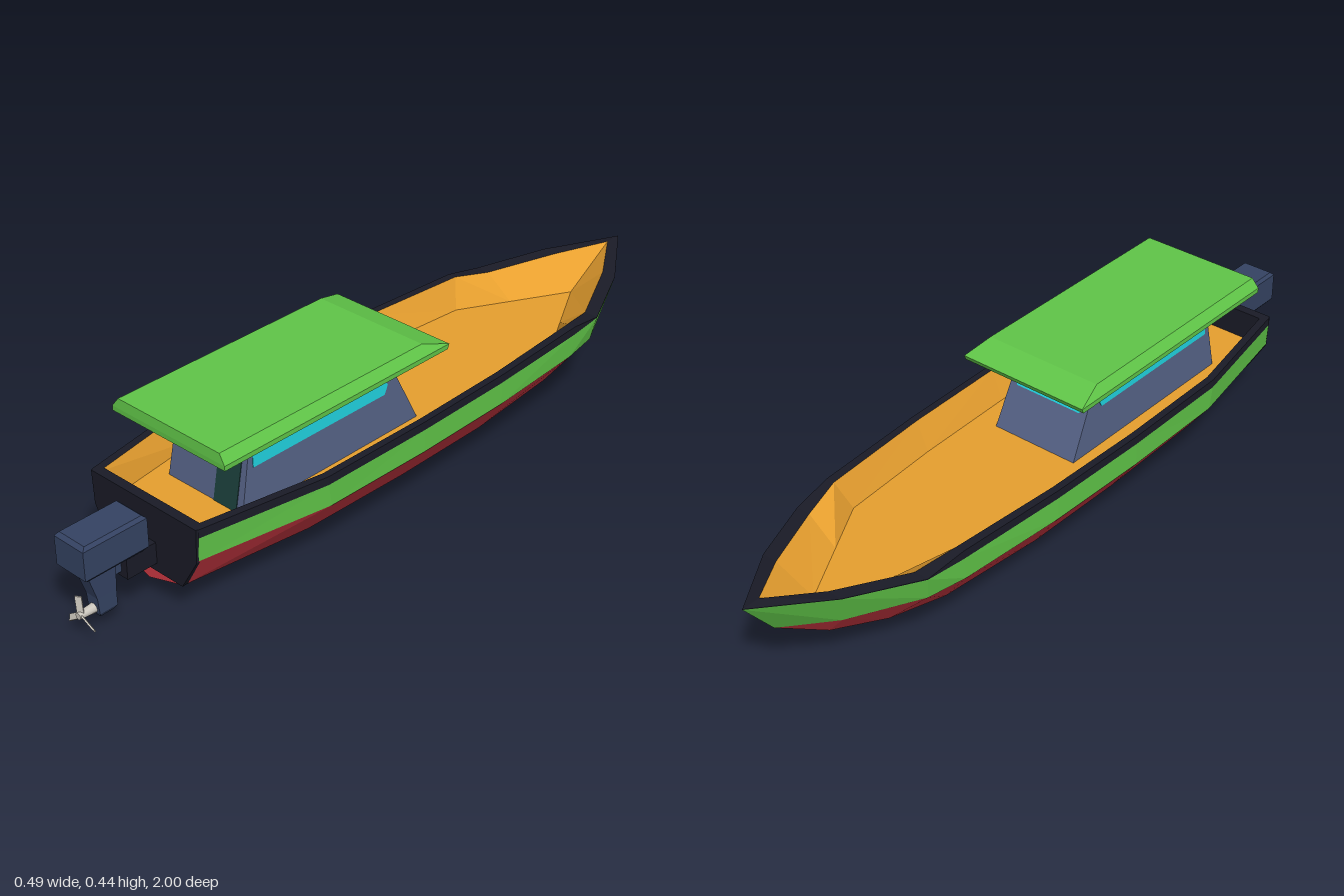
import * as THREE from 'three';

const mat = (name, color) => Object.assign(new THREE.MeshStandardMaterial({ color }), { name });

export function createModel() {
  const boat = new THREE.Group();
  boat.name = 'motorBoat';
  const red = mat('hullRed', 0xd23a45), green = mat('trimGreen', 0x60c548), dark = mat('rimDark', 0x1a1b27);
  const wood = mat('deckOrange', 0xe8a02f), wall = mat('cabinBlueGrey', 0x566387), glass = mat('glassCyan', 0x20d3e0);
  const door = mat('doorTeal', 0x1b403c), engine = mat('motorBlue', 0x354363), metal = mat('propellerMetal', 0xcdc8bf);

  const add = (name, geo, material, parent = boat) => {
    const mesh = new THREE.Mesh(geo, material);
    mesh.name = name;
    parent.add(mesh);
    return mesh;
  };
  // Faceted geometry from a flat list of triangle corners
  const facets = (pts) => {
    const geo = new THREE.BufferGeometry();
    geo.setAttribute('position', new THREE.Float32BufferAttribute(pts.flat(), 3));
    geo.computeVertexNormals();
    return geo;
  };
  // Strips between neighbouring lines running stern to bow, mirrored to both sides
  const loft = (...lines) => {
    const tris = [];
    const flip = ([x, y, z]) => [-x, y, z];
    for (let l = 0; l < lines.length - 1; l++) {
      const A = lines[l], B = lines[l + 1];
      for (let i = 0; i < A.length - 1; i++) {
        const q = [A[i], A[i + 1], B[i + 1], A[i], B[i + 1], B[i]];
        tris.push(...q, ...q.map(flip).reverse());
      }
    }
    return facets(tris);
  };
  // Closed solid from stacked rectangles [halfWidth, zBack, zFront, y], bottom to top
  const rings = (list) => {
    const loops = list.map(([w, a, b, y]) => [[w, y, b], [w, y, a], [-w, y, a], [-w, y, b]]);
    const tris = [];
    for (let r = 0; r < loops.length - 1; r++) {
      for (let i = 0; i < 4; i++) {
        const j = (i + 1) % 4, A = loops[r], B = loops[r + 1];
        tris.push(A[i], A[j], B[j], A[i], B[j], B[i]);
      }
    }
    const t = loops[loops.length - 1], b = loops[0];
    tris.push(t[0], t[1], t[2], t[0], t[2], t[3], b[0], b[2], b[1], b[0], b[3], b[2]);
    return facets(tris);
  };

  // Hull lines, stern to bow
  const keel = [[0, .06, .78], [0, .002, .42], [0, 0, .1], [0, .005, -.2], [0, .014, -.5],
    [0, .055, -.64], [0, .105, -.785], [0, .19, -.915]];
  const chine = [[.12, .097, .78], [.165, .093, .42], [.172, .093, .1], [.168, .093, -.2], [.142, .095, -.5],
    [.1, .1, -.65], [.045, .125, -.79], [0, .19, -.915]];
  const waterline = [[.178, .193, .78], [.243, .195, .42], [.247, .195, .1], [.24, .195, -.2], [.218, .195, -.51],
    [.198, .195, -.62], [.1, .192, -.8], [0, .19, -.915]];
  const beam = [[.182, .78], [.244, .43], [.247, .1], [.24, -.2], [.22, -.52], [.21, -.63], [.125, -.82], [0, -1]];
  const bandY = [.257, .257, .257, .257, .257, .26, .279, .298];
  const rimY = [.28, .28, .28, .28, .28, .262, .28, .299];
  const band = beam.map(([x, z], i) => [x, bandY[i], z]);
  const rimOuter = beam.map(([x, z], i) => [x, rimY[i], z]);
  const innerX = [.16, .224, .228, .22, .196, .17, .083, 0];
  const rimInner = beam.map(([, z], i) => [innerX[i], rimY[i], i === 7 ? -.95 : z]);
  const floorEdge = [[.145, .78], [.195, .43], [.195, .1], [.186, -.2], [.165, -.49], [.088, -.63], [0, -.79], [0, -.79]]
    .map(([x, z]) => [x, .2, z]);
  const floorMid = floorEdge.map(([, y, z]) => [0, y, z]);

  add('hullBottom', loft(keel, chine, waterline), red);
  add('hullStern', facets([keel[0], chine[0], [-.12, .097, .78]]), red);
  add('hullBand', loft(waterline, band), green);
  add('gunwale', loft(band, rimOuter, rimInner), dark);
  add('innerWalls', loft(rimInner, floorEdge), wood);
  add('floor', loft(floorEdge, floorMid), wood);

  // Transom
  const half = [[.122, .097], [.176, .188], [.18, .28]];
  const outline = [...half, ...half.map(([x, y]) => [-x, y]).reverse()];
  const shapeOf = (pts) => new THREE.Shape(pts.map(([x, y]) => new THREE.Vector2(x, y)));
  const transom = new THREE.ExtrudeGeometry(shapeOf(outline), { depth: .026, bevelEnabled: false });
  add('transom', transom.translate(0, 0, .759), dark);

  // Cabin and roof
  add('cabin', rings([[.128, -.008, .598, .19], [.121, .09, .56, .39]]), wall);
  add('roof', rings([[.122, .05, .59, .385], [.19, -.045, .7, .4], [.19, -.05, .7, .413], [.171, .03, .697, .438]]), green);

  // Thin panels laid on the sloping cabin walls
  const rise = (y) => (y - .19) / .2;
  const onRight = (u, y, d) => [.128 - .007 * rise(y) + d, y, -u];
  const onLeft = (u, y, d) => [-(.128 - .007 * rise(y) + d), y, u];
  const onRear = (u, y, d) => [u, y, .598 - .038 * rise(y) + d];
  const onFront = (u, y, d) => [-u, y, -.008 + .098 * rise(y) - d];
  const panel = (name, pts, place, material, depth) => {
    const geo = new THREE.ExtrudeGeometry(shapeOf(pts), { depth, bevelEnabled: false });
    const p = geo.attributes.position;
    for (let i = 0; i < p.count; i++) p.setXYZ(i, ...place(p.getX(i), p.getY(i), p.getZ(i)));
    geo.computeVertexNormals();
    add(name, geo, material);
  };
  const pane = (x0, x1, y0, y1, c) => [[x0 + c, y0], [x1 - c, y0], [x1, y0 + c], [x1, y1 - c],
    [x1 - c, y1], [x0 + c, y1], [x0, y1 - c], [x0, y0 + c]];
  const side = [[.555, .312], [.112, .312], [.1, .335], [.125, .378], [.548, .378], [.555, .37]];
  panel('leftSideWindow', side.map(([z, y]) => [-z, y]), onRight, glass, .0015);
  panel('rightSideWindow', side, onLeft, glass, .0015);
  panel('windshield', pane(-.108, .108, .312, .376, .008), onFront, glass, .002);
  panel('cabinDoor', [[.03, .2], [.106, .2], [.106, .386], [.03, .386]], onRear, door, .002);
  panel('doorWindow', pane(.047, .086, .307, .367, .007), onRear, glass, .004);

  // Outboard motor
  const motor = new THREE.Group();
  motor.name = 'outboardMotor';
  boat.add(motor);
  add('cowl', rings([[.043, .825, .99, .181], [.05, .815, 1, .19], [.05, .815, 1, .268], [.043, .825, .99, .277]]), engine, motor);
  add('leg', rings([[.012, .9, .94, .042], [.02, .894, .946, .055], [.02, .894, .95, .1], [.022, .89, .978, .19]]), engine, motor);
  add('mountBracket', new THREE.BoxGeometry(.074, .058, .09), dark, motor).position.set(0, .15, .828);
  add('mountArm', new THREE.BoxGeometry(.034, .04, .04), engine, motor).position.set(0, .155, .885);

  // Propeller
  const hub = new THREE.CylinderGeometry(.009, .013, .05, 10).rotateX(Math.PI / 2);
  add('propellerHub', hub, metal, motor).position.set(0, .065, .968);
  for (let i = 0; i < 3; i++) {
    const geo = new THREE.BoxGeometry(.016, .045, .004).rotateY(.6).translate(0, .028, 0);
    const blade = add('propellerBlade', geo, metal, motor);
    blade.position.set(0, .065, .985);
    blade.rotation.z = .08 + i * Math.PI * 2 / 3;
  }
  return boat;
}
